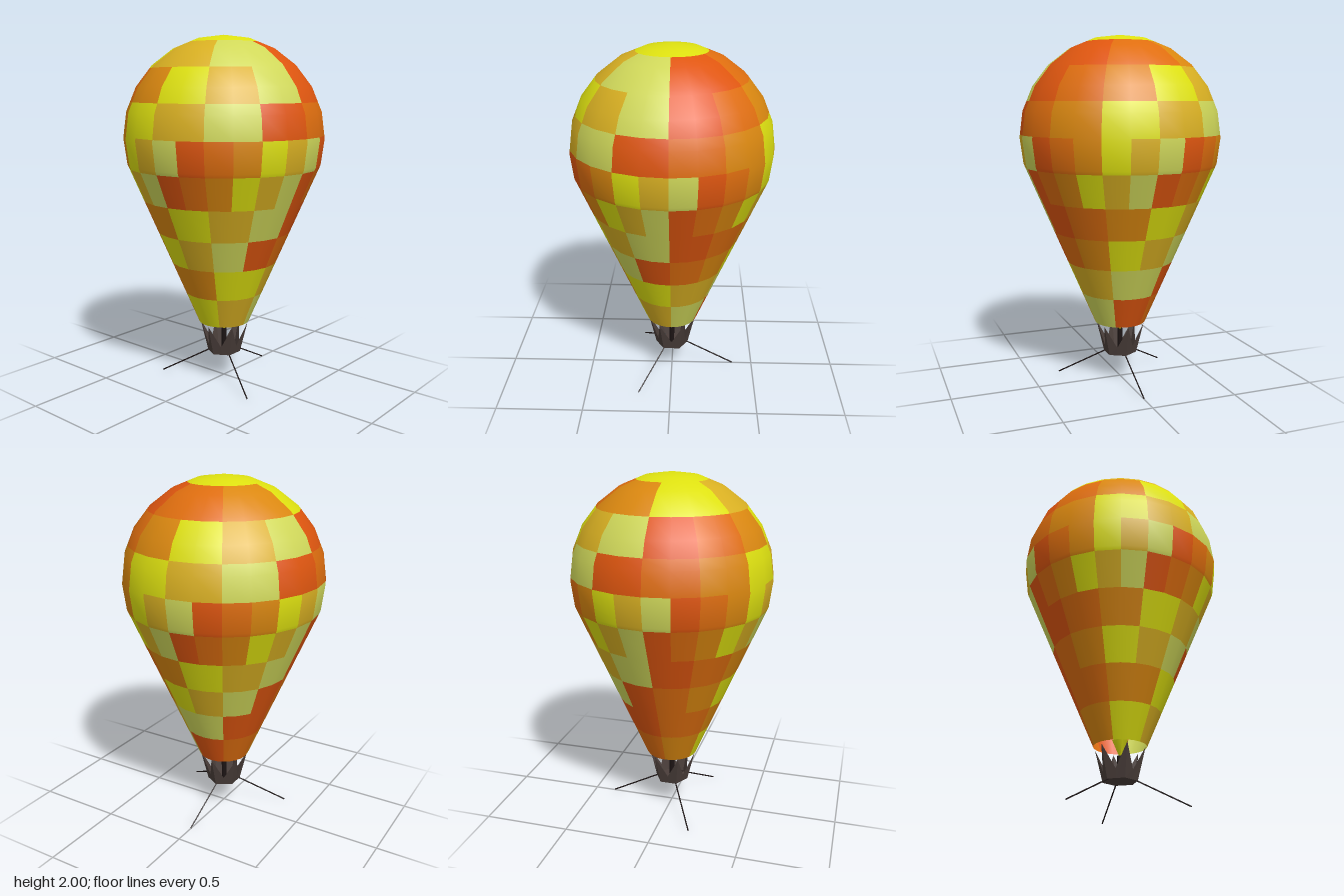
import * as THREE from 'three';
import { mergeGeometries } from 'three/addons/utils/BufferGeometryUtils.js';

const DEG = Math.PI / 180;

function material(name, color) {
  const m = new THREE.MeshStandardMaterial({ color, side: THREE.DoubleSide });
  m.name = name;
  return m;
}

// Panel colours in the order in which they repeat around the envelope
const panelMaterials = [
  material('yellow', 0xdde010),
  material('gold', 0xd9b022),
  material('paleYellow', 0xd0d85a),
  material('red', 0xdf560f),
  material('deepOrange', 0xdf6e0f),
  material('orange', 0xdb8810),
];
const basketBrown = material('basketBrown', 0x4a3e3a);
const black = material('black', 0x1c1414);

// Envelope outline: a straight cone below a faceted sphere
const R = 0.57, CY = 1.43;
const outline = [new THREE.Vector2(0.147, 0.345)];
for (let a = -15; a <= 90; a += 15) {
  outline.push(new THREE.Vector2(R * Math.cos(a * DEG), CY + R * Math.sin(a * DEG)));
}
outline[outline.length - 1].x = 0;

function radiusAt(y) {
  for (let i = 1; i < outline.length; i++) {
    const a = outline[i - 1], b = outline[i];
    if (y <= b.y) return a.x + (b.x - a.x) * (y - a.y) / (b.y - a.y);
  }
  return 0;
}

// One panel between two heights and two angles, with smooth envelope normals
function panel(y0, y1, start, width) {
  const points = [new THREE.Vector2(radiusAt(y0), y0)];
  for (const p of outline) if (p.y > y0 + 0.002 && p.y < y1 - 0.002) points.push(p);
  points.push(new THREE.Vector2(radiusAt(y1), y1));
  const g = new THREE.LatheGeometry(points, width / 15, start * DEG, width * DEG);
  const pos = g.attributes.position, n = new THREE.Vector3();
  for (let i = 0; i < pos.count; i++) {
    n.fromBufferAttribute(pos, i);
    if (n.y > 1.27) n.y -= CY;
    else n.y = -0.42 * Math.hypot(n.x, n.z);
    n.normalize();
    g.attributes.normal.setXYZ(i, n.x, n.y, n.z);
  }
  return g;
}

// Rows from the mouth up: bottom, top, panel width, angle of the first yellow panel
const rows = [
  [0.345, 0.53, 60, 240],
  [0.53, 0.715, 60, 300],
  [0.715, 0.895, 30, 60],
  [0.895, 1.08, 30, 90],
  [1.08, 1.263, 15, 45],
  [1.263, 1.447, 15, 60],
  [1.447, 1.632, 30, 60],
  [1.632, 1.817, 30, 90],
  [1.817, 1.96, 60, 180],
];

function buildEnvelope() {
  const group = new THREE.Group();
  group.name = 'envelope';
  const byColour = panelMaterials.map(() => []);
  for (const [y0, y1, width, start] of rows) {
    for (let i = 0; i < 360 / width; i++) {
      byColour[i % 6].push(panel(y0, y1, start + i * width, width));
    }
  }
  byColour[0].push(panel(1.96, 2, 0, 360)); // crown
  byColour.forEach((list, i) => {
    const mesh = new THREE.Mesh(mergeGeometries(list), panelMaterials[i]);
    mesh.name = panelMaterials[i].name + 'Panels';
    group.add(mesh);
  });
  return group;
}

// Six-sided basket whose rim rises to a point at each corner
function buildBasket() {
  const at = (deg, r, y) => [r * Math.sin(deg * DEG), y, r * Math.cos(deg * DEG)];
  const c = Math.cos(30 * DEG), v = [];
  for (let i = 0; i < 6; i++) {
    const a = 30 + i * 60;
    const b0 = at(a, 0.097, 0.155), b1 = at(a + 60, 0.097, 0.155);
    const t0 = at(a, 0.142, 0.337), t1 = at(a + 60, 0.142, 0.337);
    const mid = at(a + 30, 0.097 * c, 0.155), valley = at(a + 30, 0.11 * c, 0.205);
    v.push(...b0, ...mid, ...valley, ...b0, ...valley, ...t0);
    v.push(...mid, ...b1, ...t1, ...mid, ...t1, ...valley);
    v.push(0, 0.155, 0, ...b1, ...b0); // floor
  }
  const g = new THREE.BufferGeometry();
  g.setAttribute('position', new THREE.Float32BufferAttribute(v, 3));
  g.computeVertexNormals();
  const mesh = new THREE.Mesh(g, basketBrown);
  mesh.name = 'basket';
  return mesh;
}

function rod(name, from, to, radius, mat) {
  const dir = to.clone().sub(from);
  const mesh = new THREE.Mesh(new THREE.CylinderGeometry(radius, radius, dir.length(), 6), mat);
  mesh.position.copy(from).add(to).multiplyScalar(0.5);
  mesh.quaternion.setFromUnitVectors(new THREE.Vector3(0, 1, 0), dir.normalize());
  mesh.name = name;
  return mesh;
}

export function createModel() {
  const model = new THREE.Group();
  model.name = 'hotAirBalloon';
  model.add(buildEnvelope(), buildBasket());

  // Burner post and the flame above it
  model.add(rod('burner', new THREE.Vector3(0, 0.156, 0), new THREE.Vector3(0, 0.295, 0), 0.016, black));
  const flame = new THREE.Mesh(new THREE.CylinderGeometry(0.045, 0, 0.1, 8), panelMaterials[0]);
  flame.position.y = 0.33;
  flame.name = 'flame';
  model.add(flame);

  // Three splayed mooring legs
  for (const deg of [90, 210, 330]) {
    const s = Math.sin(deg * DEG), c = Math.cos(deg * DEG);
    model.add(rod('mooringLeg', new THREE.Vector3(0.085 * s, 0.158, 0.085 * c),
      new THREE.Vector3(0.378 * s, 0.004, 0.378 * c), 0.004, black));
  }
  return model;
}
